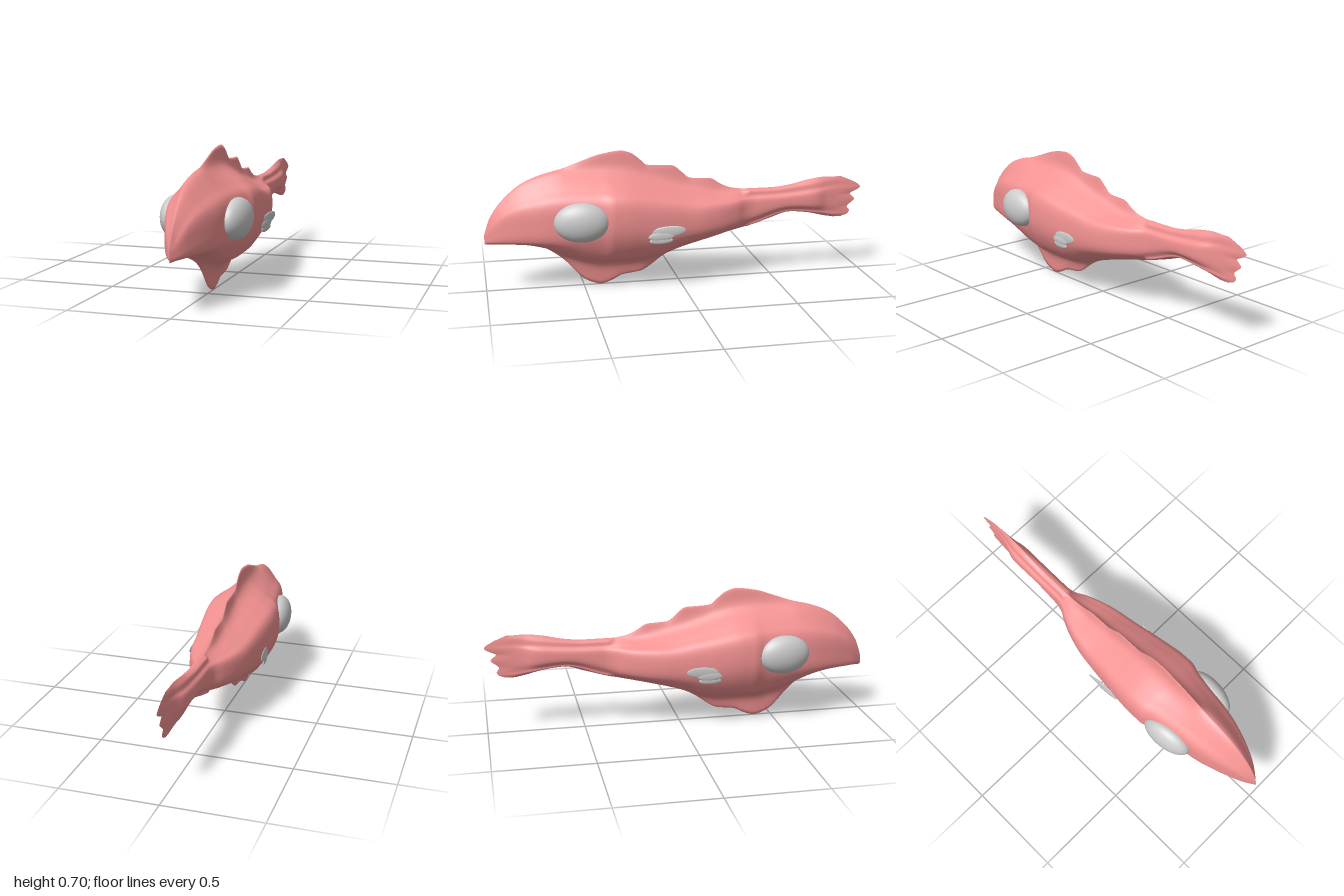
import * as THREE from 'three';

// Smooth interpolation through [position, value] pairs without overshoot
function profile(...pts) {
  pts.sort((a, b) => a[0] - b[0]);
  const slope = (i) => (pts[i + 1][1] - pts[i][1]) / (pts[i + 1][0] - pts[i][0]);
  const tangent = (i) => {
    if (i === 0) return slope(0);
    if (i === pts.length - 1) return slope(i - 1);
    const a = slope(i - 1), b = slope(i);
    return a * b <= 0 ? 0 : (2 * a * b) / (a + b);
  };
  return (x) => {
    if (x <= pts[0][0]) return pts[0][1];
    if (x >= pts[pts.length - 1][0]) return pts[pts.length - 1][1];
    let i = 0;
    while (x > pts[i + 1][0]) i++;
    const h = pts[i + 1][0] - pts[i][0], t = (x - pts[i][0]) / h, t2 = t * t, t3 = t2 * t;
    return (2 * t3 - 3 * t2 + 1) * pts[i][1] + (t3 - 2 * t2 + t) * h * tangent(i)
      + (3 * t2 - 2 * t3) * pts[i + 1][1] + (t3 - t2) * h * tangent(i + 1);
  };
}

// Outer outline, dorsal and ventral fins included
const finTop = profile([1, 0.3], [0.97, 0.385], [0.9, 0.48], [0.8, 0.56], [0.7, 0.6], [0.6, 0.625], [0.5, 0.66],
  [0.4, 0.692], [0.3, 0.705], [0.25, 0.692], [0.2, 0.655], [0.165, 0.625], [0.1, 0.62], [0.035, 0.618], [-0.02, 0.578],
  [-0.06, 0.547], [-0.17, 0.54], [-0.22, 0.51], [-0.28, 0.485], [-0.36, 0.475], [-0.5, 0.475], [-0.6, 0.485],
  [-0.7, 0.507], [-0.8, 0.519], [-0.85, 0.517]);
const finBottom = profile([1, 0.25], [0.9, 0.245], [0.8, 0.238], [0.7, 0.214], [0.65, 0.185], [0.6, 0.145], [0.55, 0.09],
  [0.5, 0.038], [0.45, 0.012], [0.41, 0.002], [0.35, 0.02], [0.3, 0.045], [0.2, 0.06], [0.15, 0.088], [0.1, 0.125],
  [0.05, 0.155], [0, 0.175], [-0.2, 0.23], [-0.4, 0.28], [-0.5, 0.31], [-0.6, 0.338], [-0.7, 0.328], [-0.8, 0.305], [-0.85, 0.296]);
// Fleshy body inside the fins
const bodyTop = profile([1, 0.297], [0.97, 0.378], [0.9, 0.47], [0.8, 0.548], [0.7, 0.587], [0.6, 0.607], [0.4, 0.612],
  [0.3, 0.605], [0.1, 0.55], [-0.1, 0.495], [-0.25, 0.468], [-0.36, 0.465], [-0.5, 0.465], [-0.6, 0.473], [-0.85, 0.5]);
const bodyBottom = profile([1, 0.253], [0.8, 0.243], [0.7, 0.22], [0.6, 0.175], [0.5, 0.135], [0.4, 0.116],
  [0.2, 0.122], [0.1, 0.145], [0, 0.183], [-0.2, 0.238], [-0.4, 0.288], [-0.6, 0.346], [-0.85, 0.31]);
const halfWidth = profile([1, 0], [0.95, 0.035], [0.9, 0.06], [0.8, 0.1], [0.7, 0.13], [0.6, 0.148], [0.5, 0.163],
  [0.42, 0.178], [0.36, 0.197], [0.3, 0.197], [0.2, 0.189], [0, 0.163], [-0.1, 0.15], [-0.2, 0.125], [-0.3, 0.085],
  [-0.35, 0.056], [-0.4, 0.045], [-0.7, 0.045], [-0.75, 0.039], [-0.8, 0.022], [-0.85, 0.013]);
const shoulder = profile([1, 0.288], [0.9, 0.4], [0.8, 0.445], [0.6, 0.48], [0.35, 0.487], [0.1, 0.45],
  [-0.1, 0.42], [-0.5, 0.425], [-0.85, 0.45]);
const belly = profile([1, 0.262], [0.8, 0.272], [0.6, 0.27], [0.35, 0.28], [0.1, 0.265], [-0.1, 0.28],
  [-0.3, 0.305], [-0.6, 0.375], [-0.85, 0.36]);
// How far the ragged tail edge reaches back at each height
const tailReach = profile([0.296, 0.045], [0.31, 0.08], [0.325, 0.09], [0.35, 0.076], [0.365, 0.09], [0.39, 0.117],
  [0.405, 0.105], [0.42, 0.088], [0.435, 0.118], [0.455, 0.147], [0.47, 0.135], [0.49, 0.1], [0.505, 0.065], [0.517, 0.035]);

// Half cross-section on the +x side, from dorsal edge to ventral edge
function halfSection(z, thin = 1) {
  const w = halfWidth(z) * thin, t = bodyTop(z), b = bodyBottom(z), up = shoulder(z), lo = belly(z);
  const ridge = z < -0.36 ? w * 0.45 : Math.min(0.022, w * 0.16);
  const points = [
    [0, finTop(z)], [ridge, t], [w * 0.6, THREE.MathUtils.lerp(up, t, 0.42)], [w * 0.91, up], [w, (up + lo) / 2],
    [w * 0.92, lo], [w * 0.6, THREE.MathUtils.lerp(lo, b, 0.66)], [ridge * 1.2, b], [0, finBottom(z)],
  ].map(([x, y]) => new THREE.Vector3(x, y, z));
  return new THREE.CatmullRomCurve3(points, false, 'centripetal').getPoints(48);
}

function bodyGeometry() {
  const rings = [], rows = 120, tailRows = 14;
  for (let i = 0; i <= rows; i++) rings.push(halfSection(1 - 1.85 * (i / rows) ** 1.25));
  // Tail fin thins out toward its lobed edge
  for (let i = 1; i <= tailRows; i++) {
    const u = i / tailRows;
    rings.push(halfSection(-0.85, 1 - 0.9 * u).map((p) => p.setZ(-0.85 - u * tailReach(p.y))));
  }
  const positions = [], index = [];
  for (const half of rings) {
    const mirrored = half.slice(1, -1).reverse().map((p) => new THREE.Vector3(-p.x, p.y, p.z));
    for (const p of [...half, ...mirrored]) positions.push(Math.abs(p.x) < 1e-9 ? 0 : p.x, p.y, p.z);
  }
  const n = positions.length / 3 / rings.length;
  for (let i = 0; i < rings.length - 1; i++) {
    for (let j = 0; j < n; j++) {
      const a = i * n + j, b = i * n + ((j + 1) % n);
      index.push(a, b, a + n, b, b + n, a + n);
    }
  }
  const geometry = new THREE.BufferGeometry();
  geometry.setAttribute('position', new THREE.Float32BufferAttribute(positions, 3));
  geometry.setIndex(index);
  geometry.computeVertexNormals();
  return geometry;
}

export function createModel() {
  const model = new THREE.Group();
  model.name = 'fish';
  const skin = new THREE.MeshStandardMaterial({ color: 0xf49292, side: THREE.DoubleSide });
  const grey = new THREE.MeshStandardMaterial({ color: 0xcccccc });

  const body = new THREE.Mesh(bodyGeometry(), skin);
  body.name = 'body';
  model.add(body);

  const ball = new THREE.SphereGeometry(1, 40, 24);
  const addEllipsoid = (parent, name, position, radii, rotation) => {
    const mesh = new THREE.Mesh(ball, grey);
    mesh.name = name;
    mesh.position.set(...position);
    mesh.scale.set(...radii);
    mesh.rotation.set(...rotation);
    parent.add(mesh);
  };

  for (const side of [1, -1]) {
    const label = side > 0 ? 'left' : 'right';
    // Bulging eye, turned slightly forward
    addEllipsoid(model, label + 'Eye', [side * 0.156, 0.379, 0.522], [0.065, 0.101, 0.138], [0, side * -0.1, 0]);

    // Pectoral fin made of overlapping flat lobes
    const fin = new THREE.Group();
    fin.name = label + 'PectoralFin';
    addEllipsoid(fin, 'upperLobe', [side * 0.187, 0.316, 0.094], [0.006, 0.029, 0.094], [0.1, side * -0.1, 0]);
    addEllipsoid(fin, 'middleLobe', [side * 0.186, 0.293, 0.125], [0.006, 0.022, 0.066], [0.05, side * -0.1, 0]);
    addEllipsoid(fin, 'lowerLobe', [side * 0.184, 0.27, 0.125], [0.006, 0.017, 0.06], [0.05, side * -0.1, 0]);
    model.add(fin);
  }
  return model;
}
